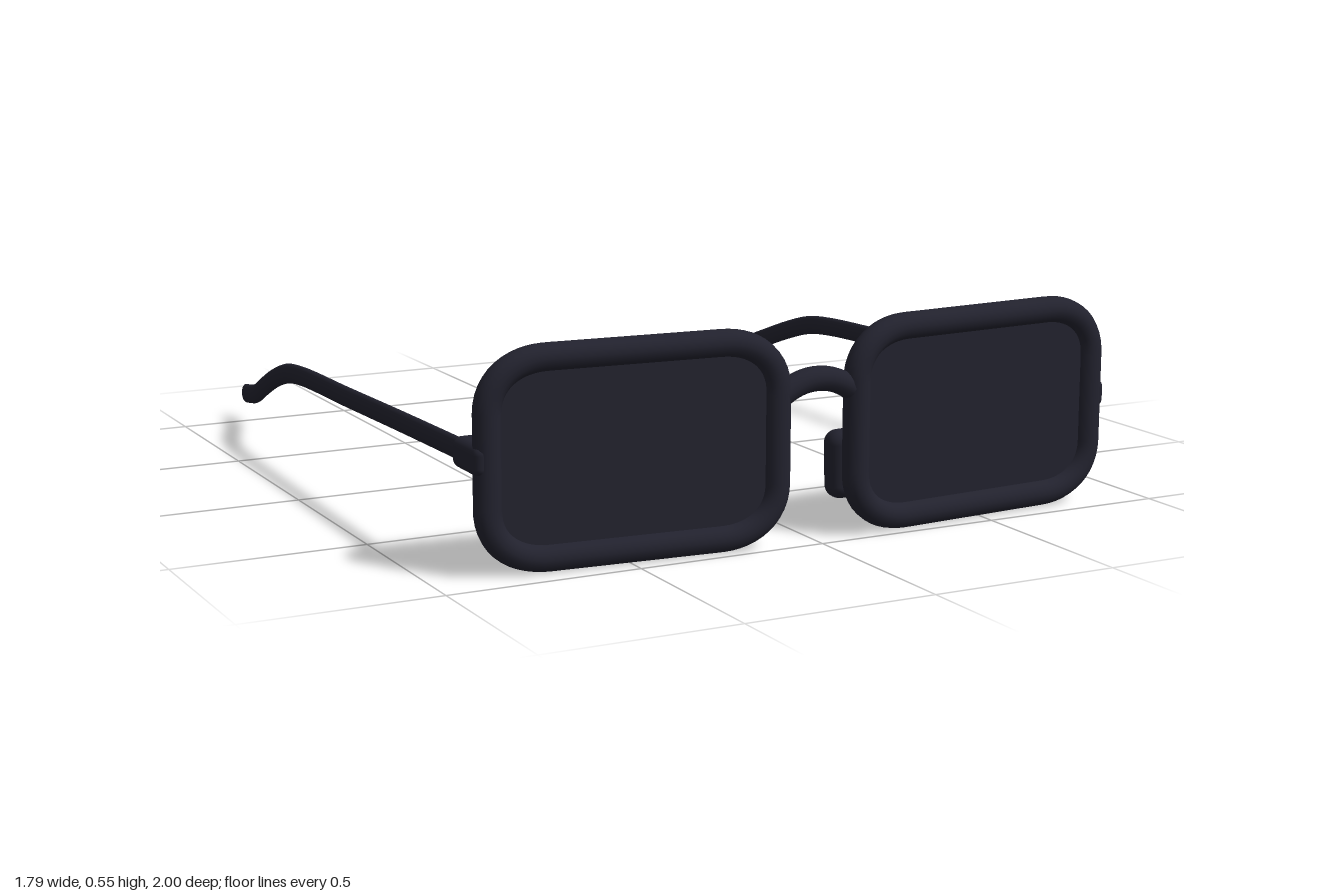
import * as THREE from 'three';
import { RoundedBoxGeometry } from 'three/addons/geometries/RoundedBoxGeometry.js';

const RIM_HALF_W = 0.372, RIM_HALF_H = 0.241, RIM_R = 0.034;

// Rectangle with soft, wide corners
function lensShape(w, h, cx, cy) {
  const k = 0.4, s = new THREE.Shape();
  s.moveTo(-w + cx, -h);
  s.lineTo(w - cx, -h);
  s.bezierCurveTo(w - cx * k, -h, w, -h + cy * k, w, -h + cy);
  s.lineTo(w, h - cy);
  s.bezierCurveTo(w, h - cy * k, w - cx * k, h, w - cx, h);
  s.lineTo(-w + cx, h);
  s.bezierCurveTo(-w + cx * k, h, -w, h - cy * k, -w, h - cy);
  s.lineTo(-w, -h + cy);
  s.bezierCurveTo(-w, -h + cy * k, -w + cx * k, -h, -w + cx, -h);
  return s;
}

// Tube whose width in x is squeezed around its path
function flatTube(curve, segments, radius, sides, squeeze) {
  const geo = new THREE.TubeGeometry(curve, segments, radius, sides);
  const pos = geo.attributes.position, nor = geo.attributes.normal;
  const n = new THREE.Vector3();
  for (let i = 0; i < pos.count; i++) {
    const c = curve.getPointAt(Math.floor(i / (sides + 1)) / segments);
    pos.setX(i, c.x + (pos.getX(i) - c.x) * squeeze);
    n.fromBufferAttribute(nor, i);
    n.x /= squeeze;
    n.normalize();
    nor.setXYZ(i, n.x, n.y, n.z);
  }
  return geo;
}

export function createModel() {
  const group = new THREE.Group();
  const frame = new THREE.MeshStandardMaterial({ color: 0x22222e });
  frame.name = 'darkFrame';

  const add = (parent, name, geo, x = 0, y = 0, z = 0) => {
    const mesh = new THREE.Mesh(geo, frame);
    mesh.name = name;
    mesh.position.set(x, y, z);
    parent.add(mesh);
    return mesh;
  };

  // Shared rim and lens geometry
  const outline = lensShape(RIM_HALF_W, RIM_HALF_H, 0.15, 0.125);
  const points = outline.getSpacedPoints(96).slice(0, -1).map(p => new THREE.Vector3(p.x, p.y, 0));
  const rimGeo = new THREE.TubeGeometry(new THREE.CatmullRomCurve3(points, true), 128, RIM_R, 16, true);
  const lensGeo = new THREE.ExtrudeGeometry(outline, { depth: 0.016, bevelEnabled: false, curveSegments: 12 });
  lensGeo.translate(0, 0, -0.008);

  for (const [side, s] of [['left', 1], ['right', -1]]) {
    // Rim and lens, swept back towards the temple
    const front = new THREE.Group();
    front.name = side + 'Front';
    front.position.set(s * 0.484, 0.275, 0.937);
    front.rotation.y = s * 0.075;
    add(front, side + 'Rim', rimGeo);
    add(front, side + 'Lens', lensGeo);
    group.add(front);

    // Nose pad behind the inner edge
    const pad = add(group, side + 'NosePad', new RoundedBoxGeometry(0.09, 0.175, 0.075, 5, 0.034), s * 0.119, 0.168, 0.893);
    pad.rotation.z = s * 0.03;

    // Hinge block
    add(group, side + 'Hinge', new RoundedBoxGeometry(0.066, 0.076, 0.155, 4, 0.022), s * 0.861, 0.282, 0.859);

    // Temple arm with the drooping ear tip
    const arm = new THREE.CatmullRomCurve3([
      [0.87, 0.286, 0.82], [0.864, 0.275, 0.4], [0.857, 0.262, 0], [0.85, 0.25, -0.38],
      [0.848, 0.236, -0.5], [0.843, 0.202, -0.62], [0.83, 0.151, -0.76],
      [0.815, 0.103, -0.89], [0.808, 0.083, -1],
    ].map(([x, y, z]) => new THREE.Vector3(s * x, y, z)));
    add(group, side + 'Temple', flatTube(arm, 72, 0.028, 16, 0.5));

    // Flat end of the ear tip
    const cap = add(group, side + 'TempleTip', new THREE.CircleGeometry(0.028, 16), s * 0.808, 0.083, -1);
    cap.scale.x = 0.5;
    cap.rotation.set(Math.PI - 0.15, 0, 0);
  }

  // Arched bridge between the rims
  const arch = new THREE.CatmullRomCurve3([
    [-0.12, 0.36], [-0.08, 0.386], [-0.04, 0.402], [0, 0.407], [0.04, 0.402], [0.08, 0.386], [0.12, 0.36],
  ].map(([x, y]) => new THREE.Vector3(x, y, 0.962)));
  add(group, 'bridge', new THREE.TubeGeometry(arch, 32, 0.031, 14));

  return group;
}
